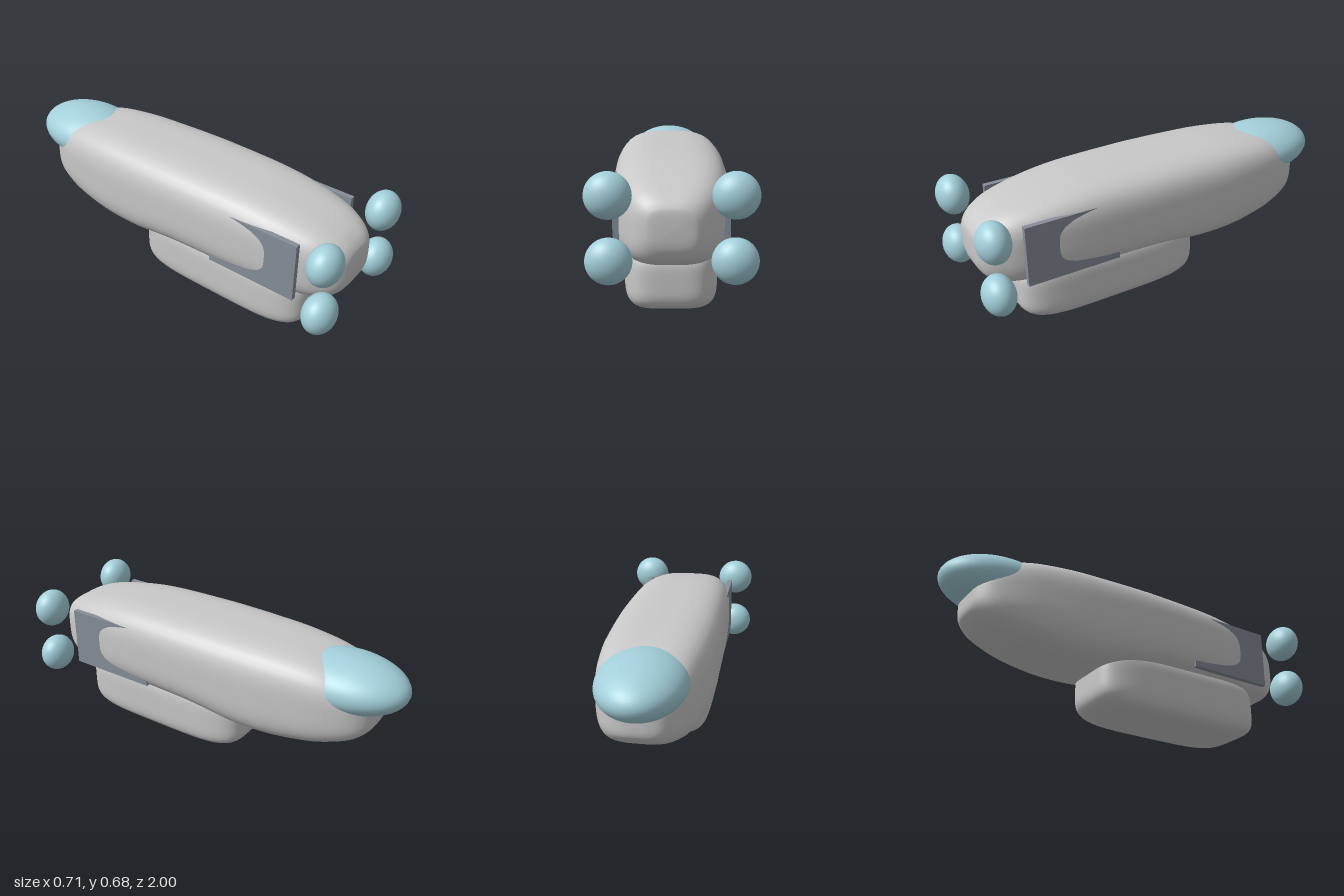
import * as THREE from 'three';
import { mergeVertices } from 'three/addons/utils/BufferGeometryUtils.js';

const material = (name, color) => {
  const m = new THREE.MeshStandardMaterial({ color });
  m.name = name;
  return m;
};

// Hull stations: z, half width, top, bottom
const STATIONS = [
  [0.952, 0.0, 0.435, 0.435],
  [0.948, 0.08, 0.50, 0.375],
  [0.937, 0.115, 0.53, 0.335],
  [0.91, 0.15, 0.56, 0.295],
  [0.86, 0.184, 0.59, 0.267],
  [0.77, 0.22, 0.62, 0.25],
  [0.6, 0.249, 0.652, 0.243],
  [0.4, 0.263, 0.672, 0.24],
  [0.1, 0.271, 0.678, 0.235],
  [-0.05, 0.272, 0.678, 0.222],
  [-0.2, 0.27, 0.676, 0.203],
  [-0.4, 0.26, 0.67, 0.203],
  [-0.6, 0.234, 0.65, 0.23],
  [-0.72, 0.203, 0.615, 0.263],
  [-0.8, 0.165, 0.57, 0.295],
  [-0.85, 0.115, 0.51, 0.335],
  [-0.868, 0.06, 0.46, 0.365],
  [-0.872, 0.0, 0.41, 0.41],
];

// Smooth loft through the stations with rounded-square sections
function hullGeometry(power = 3.5, sides = 64, rings = 102) {
  const spline = (f) => new THREE.CatmullRomCurve3(STATIONS.map(f), false, 'catmullrom');
  const widths = spline(([z, w, t, b]) => new THREE.Vector3(w, (t + b) / 2, z));
  const heights = spline(([z, w, t, b]) => new THREE.Vector3((t - b) / 2, 0, z));
  const pos = [], index = [];
  for (let i = 0; i <= rings; i++) {
    const c = widths.getPoint(i / rings), h = heights.getPoint(i / rings).x;
    for (let j = 0; j < sides; j++) {
      const a = (j / sides) * Math.PI * 2, x = Math.cos(a), y = Math.sin(a);
      const r = (Math.abs(x) ** power + Math.abs(y) ** power) ** (-1 / power);
      pos.push(c.x * x * r, c.y + h * y * r, c.z);
      if (i < rings) {
        const k = (j + 1) % sides, p = i * sides, q = p + sides;
        index.push(p + j, q + j, p + k, q + j, q + k, p + k);
      }
    }
  }
  const g = new THREE.BufferGeometry();
  g.setAttribute('position', new THREE.Float32BufferAttribute(pos, 3));
  g.setIndex(index);
  const merged = mergeVertices(g, 1e-5);
  merged.computeVertexNormals();
  return merged;
}

// Soft box: a cube pushed onto a superellipsoid
function softBox(hx, hy, hz, power) {
  const box = new THREE.BoxGeometry(2, 2, 2, 24, 24, 24);
  box.deleteAttribute('uv');
  box.deleteAttribute('normal');
  const g = mergeVertices(box, 1e-4);
  const p = g.attributes.position;
  for (let i = 0; i < p.count; i++) {
    const v = [p.getX(i), p.getY(i), p.getZ(i)];
    const r = v.reduce((s, n) => s + Math.abs(n) ** power, 0) ** (-1 / power);
    p.setXYZ(i, v[0] * r * hx, v[1] * r * hy, v[2] * r * hz);
  }
  g.computeVertexNormals();
  return g;
}

export function createModel() {
  const group = new THREE.Group();
  const hullGrey = material('hullGrey', 0xc8c8c8);
  const glassBlue = material('paleBlue', 0xa3cfda);
  const slate = material('slateGrey', 0x868e98);

  const add = (name, geometry, mat, x, y, z) => {
    const mesh = new THREE.Mesh(geometry, mat);
    mesh.name = name;
    mesh.position.set(x, y, z);
    group.add(mesh);
    return mesh;
  };

  add('hull', hullGeometry(), hullGrey, 0, 0, 0);
  add('lowerPod', softBox(0.212, 0.16, 0.485, 4.5), hullGrey, 0, 0.16, 0.285);

  // Canopy set into the tapered end
  const ball = new THREE.SphereGeometry(1, 48, 32);
  add('canopy', ball, glassBlue, 0, 0.537, -0.7).scale.set(0.205, 0.13, 0.3);

  // Side plates and the paired pods beyond them
  for (const [side, s] of [['left', 1], ['right', -1]]) {
    add(side + 'SidePlate', new THREE.BoxGeometry(0.026, 0.303, 0.47), slate, s * 0.235, 0.4365, 0.535);
    for (const [level, y] of [['Upper', 0.57], ['Lower', 0.3]]) {
      add(side + level + 'Pod', ball, glassBlue, s * 0.256, y, 0.918).scale.set(0.097, 0.097, 0.077);
    }
  }
  return group;
}
